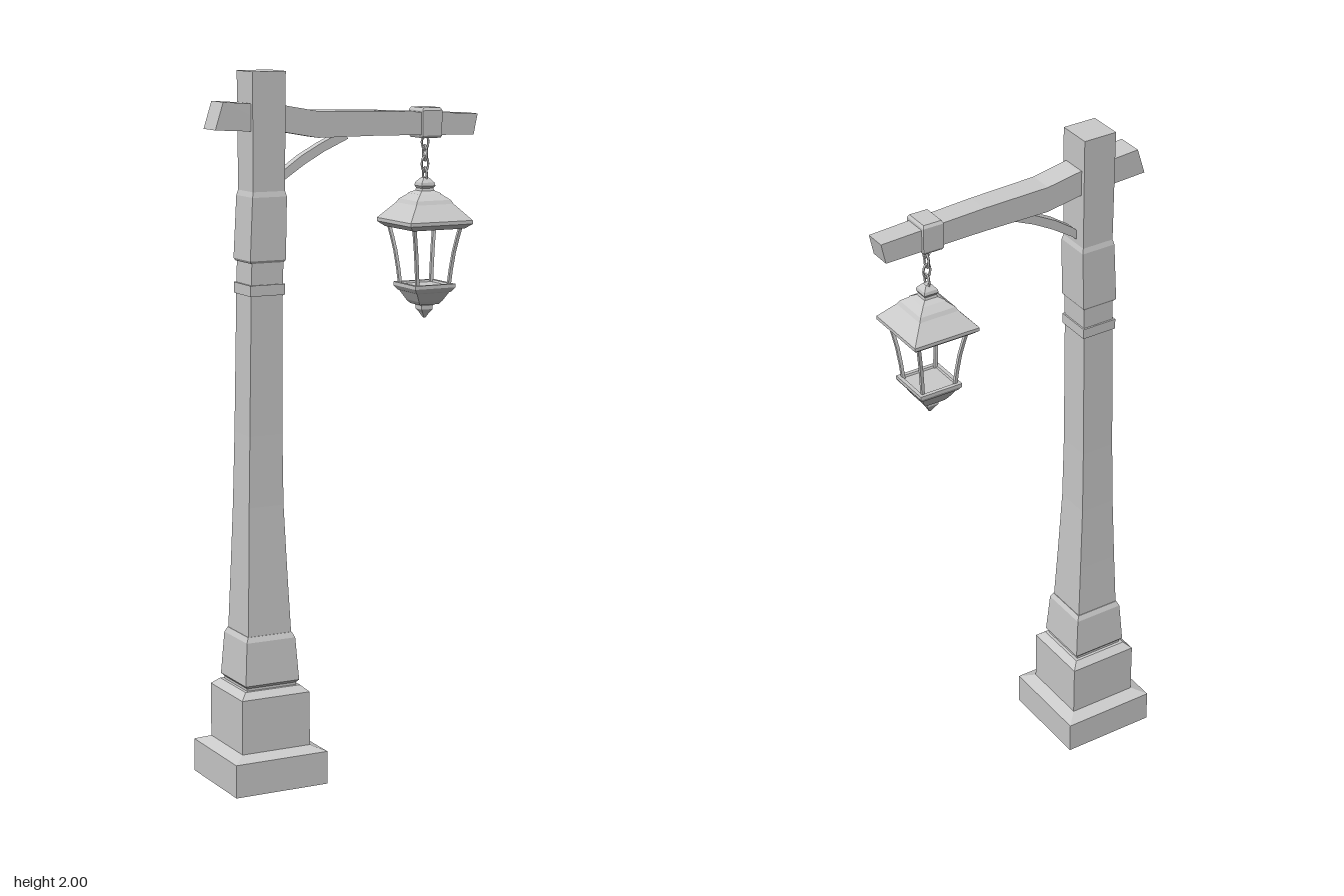
import * as THREE from 'three';

const material = new THREE.MeshStandardMaterial({ color: 0xcccccc, flatShading: true, side: THREE.DoubleSide });

// Skins a row of four-cornered rings with flat faces, with optional end caps.
function loft(rings, capStart = true, capEnd = true) {
  const pos = [];
  const quad = (a, b, c, d) => [a, b, c, a, c, d].forEach((p) => pos.push(...p));
  for (let i = 0; i < rings.length - 1; i++) {
    const lo = rings[i], hi = rings[i + 1];
    for (let k = 0; k < 4; k++) {
      const n = (k + 1) % 4;
      quad(lo[k], lo[n], hi[n], hi[k]);
    }
  }
  if (capStart) quad(...[...rings[0]].reverse());
  if (capEnd) quad(...rings[rings.length - 1]);
  const g = new THREE.BufferGeometry();
  g.setAttribute('position', new THREE.Float32BufferAttribute(pos, 3));
  g.computeVertexNormals();
  return g;
}

// Horizontal square ring, for upright parts.
const square = ([y, h, x = 0, z = 0]) =>
  [[x + h, y, z + h], [x + h, y, z - h], [x - h, y, z - h], [x - h, y, z + h]];

// Upright ring given by its lower and upper edge, for parts running along x.
const slice = ([xb, yb, xt, yt, h]) =>
  [[xb, yb, h], [xb, yb, -h], [xt, yt, -h], [xt, yt, h]];

function add(parent, name, geometry) {
  const mesh = new THREE.Mesh(geometry, material);
  mesh.name = name;
  parent.add(mesh);
  return mesh;
}

function buildPost() {
  const post = new THREE.Group();
  post.name = 'post';
  const X = -0.27;

  // Stepped plinth, hollow underneath
  add(post, 'plinth', loft([
    [0, 0.142, X], [0.095, 0.142, X], [0.11, 0.105, X],
    [0.265, 0.105, X], [0.283, 0.085, X],
  ].map(square), false, true));

  add(post, 'plinthCollar', loft([
    [0.28, 0.076, X], [0.29, 0.076, X], [0.298, 0.083, X], [0.42, 0.075, X], [0.435, 0.068, X],
  ].map(square)));

  // Tapering shaft that drifts slightly toward the arm
  add(post, 'shaft', loft([
    [0.42, 0.067, X], [0.6, 0.06, -0.271], [0.8, 0.053, -0.272], [1.0, 0.05, -0.27],
    [1.4, 0.048, -0.264], [1.67, 0.048, -0.256], [2, 0.05, -0.255],
  ].map(square)));

  add(post, 'shaftBand', loft([
    [1.39, 0.053, -0.264], [1.42, 0.053, -0.264],
  ].map(square)));

  add(post, 'upperSleeve', loft([
    [1.48, 0.05, -0.263], [1.487, 0.054, -0.263], [1.66, 0.052, -0.256], [1.675, 0.048, -0.256],
  ].map(square)));
  return post;
}

function buildArm() {
  const arm = new THREE.Group();
  arm.name = 'arm';

  add(arm, 'beam', loft([
    [-0.411, 1.845, -0.387, 1.92, 0.038],
    [-0.2, 1.833, -0.2, 1.906, 0.037],
    [-0.1, 1.815, -0.1, 1.888, 0.036],
    [0.1, 1.815, 0.1, 1.883, 0.034],
    [0.397, 1.808, 0.41, 1.867, 0.031],
  ].map(slice)));

  add(arm, 'brace', loft([
    [-0.225, 1.675, -0.225, 1.70, 0.014],
    [-0.19, 1.703, -0.198, 1.726, 0.014],
    [-0.13, 1.742, -0.14, 1.766, 0.014],
    [-0.07, 1.775, -0.08, 1.798, 0.014],
    [0.005, 1.808, -0.01, 1.83, 0.014],
  ].map(slice)));

  // Strap around the beam with bevelled rims
  add(arm, 'hangerStrap', loft([
    [1.803, 0.028], [1.81, 0.031], [1.88, 0.031], [1.888, 0.027],
  ].map(([y, h]) => square([y, h, 0.258]).map(([x, yy, z]) => [x, yy, z * 1.32]))));
  return arm;
}

function buildLantern() {
  const lantern = new THREE.Group();
  lantern.name = 'lantern';
  lantern.position.x = 0.257;

  // Chain of alternating links
  for (let i = 0; i < 4; i++) {
    const link = add(lantern, 'chainLink', new THREE.TorusGeometry(0.011, 0.0035, 5, 10));
    link.scale.y = 1.75;
    link.position.y = 1.79 - i * 0.031;
    link.rotation.y = i % 2 ? Math.PI / 2 : 0;
  }

  add(lantern, 'roofFinial', loft([
    [1.645, 0.036], [1.653, 0.02], [1.66, 0.018], [1.667, 0.022], [1.676, 0.02], [1.69, 0.008],
  ].map(square)));

  // Hollow roof with a stepped eave
  add(lantern, 'roof', loft([
    [1.548, 0.07], [1.548, 0.083], [1.562, 0.1], [1.572, 0.1],
    [1.617, 0.06], [1.628, 0.054], [1.647, 0.03],
  ].map(square), false, true));

  // Four slim bars bowing inward toward the tray
  for (const sx of [-1, 1]) for (const sz of [-1, 1]) {
    add(lantern, 'cornerBar', loft([
      [1.385, 0.051], [1.43, 0.055], [1.48, 0.061], [1.52, 0.068], [1.56, 0.076],
    ].map(([y, d]) => square([y, 0.0045, sx * d, sz * d]))));
  }

  add(lantern, 'tray', loft([
    [1.33, 0.03], [1.34, 0.038], [1.365, 0.052], [1.368, 0.057], [1.38, 0.065], [1.39, 0.065],
    [1.39, 0.054], [1.384, 0.052],
  ].map(square)));

  add(lantern, 'bottomFinial', loft([
    [1.29, 0.003], [1.305, 0.011], [1.315, 0.018], [1.325, 0.018], [1.332, 0.022],
  ].map(square)));
  return lantern;
}

export function createModel() {
  const model = new THREE.Group();
  model.name = 'streetLamp';
  model.add(buildPost(), buildArm(), buildLantern());
  return model;
}
